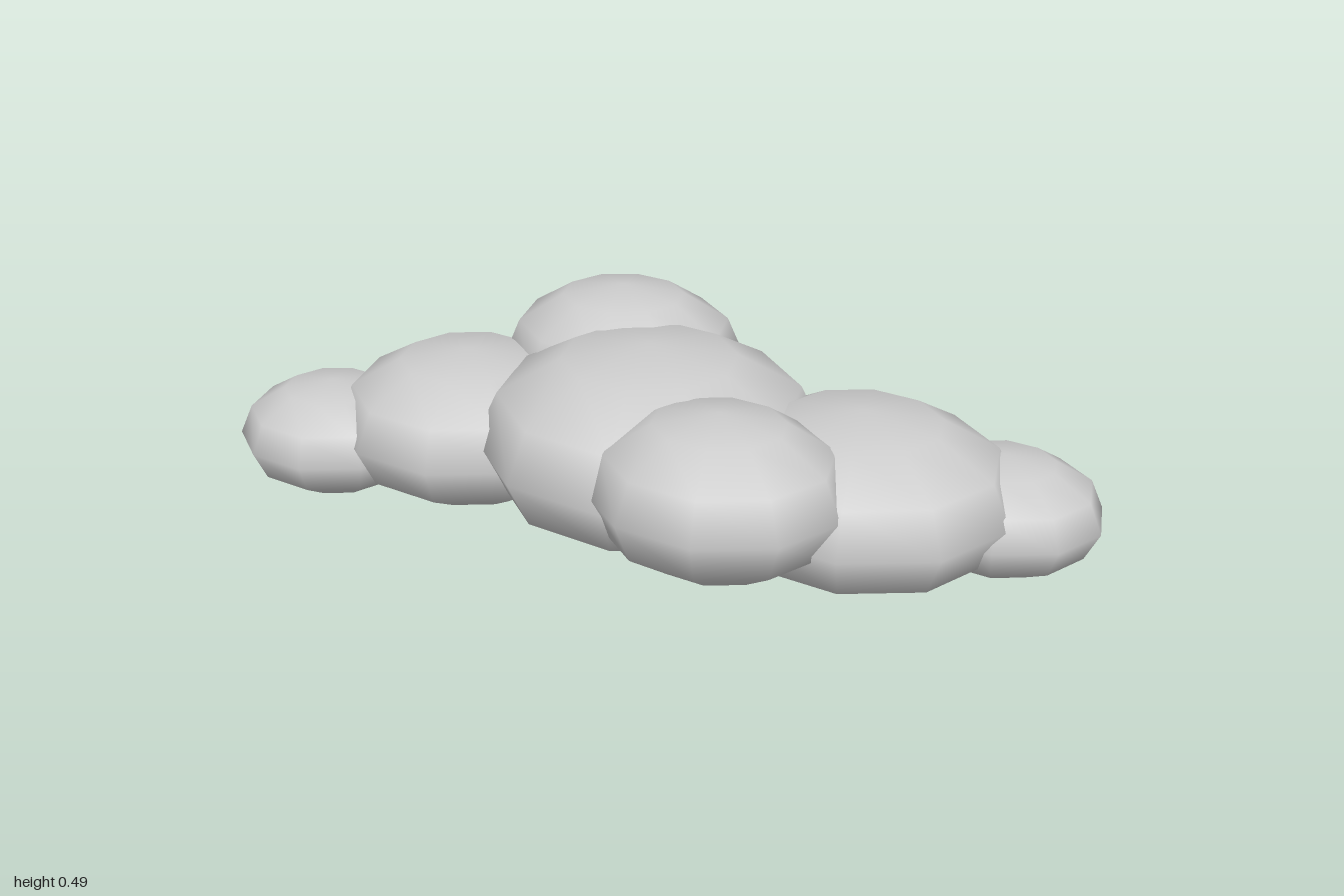
import * as THREE from 'three';

// Each puff: name, centre [x, y, z], radii [x, y, z]
const PUFFS = [
  ['centrePuff', [-0.005, 0.245, 0.01], [0.395, 0.225, 0.385]],
  ['leftPuff', [0.48, 0.197, 0.06], [0.35, 0.195, 0.32]],
  ['rightPuff', [-0.46, 0.198, -0.06], [0.32, 0.182, 0.3]],
  ['leftEndPuff', [0.78, 0.155, -0.01], [0.23, 0.135, 0.205]],
  ['rightEndPuff', [-0.78, 0.155, 0.005], [0.23, 0.135, 0.21]],
  ['frontPuff', [0.21, 0.267, 0.265], [0.285, 0.182, 0.25]],
  ['backPuff', [-0.14, 0.312, -0.26], [0.29, 0.182, 0.255]],
];

export function createModel() {
  const cloud = new THREE.Group();
  cloud.name = 'cloud';
  const material = new THREE.MeshStandardMaterial({ color: 0xcccccc });

  // Coarse ball with a corner pointing to the front and back
  const ball = new THREE.SphereGeometry(1, 10, 6).rotateY(Math.PI / 2);

  for (const [name, centre, radii] of PUFFS) {
    const puff = new THREE.Mesh(ball, material);
    puff.name = name;
    puff.position.set(...centre);
    puff.scale.set(...radii);
    cloud.add(puff);
  }
  return cloud;
}
